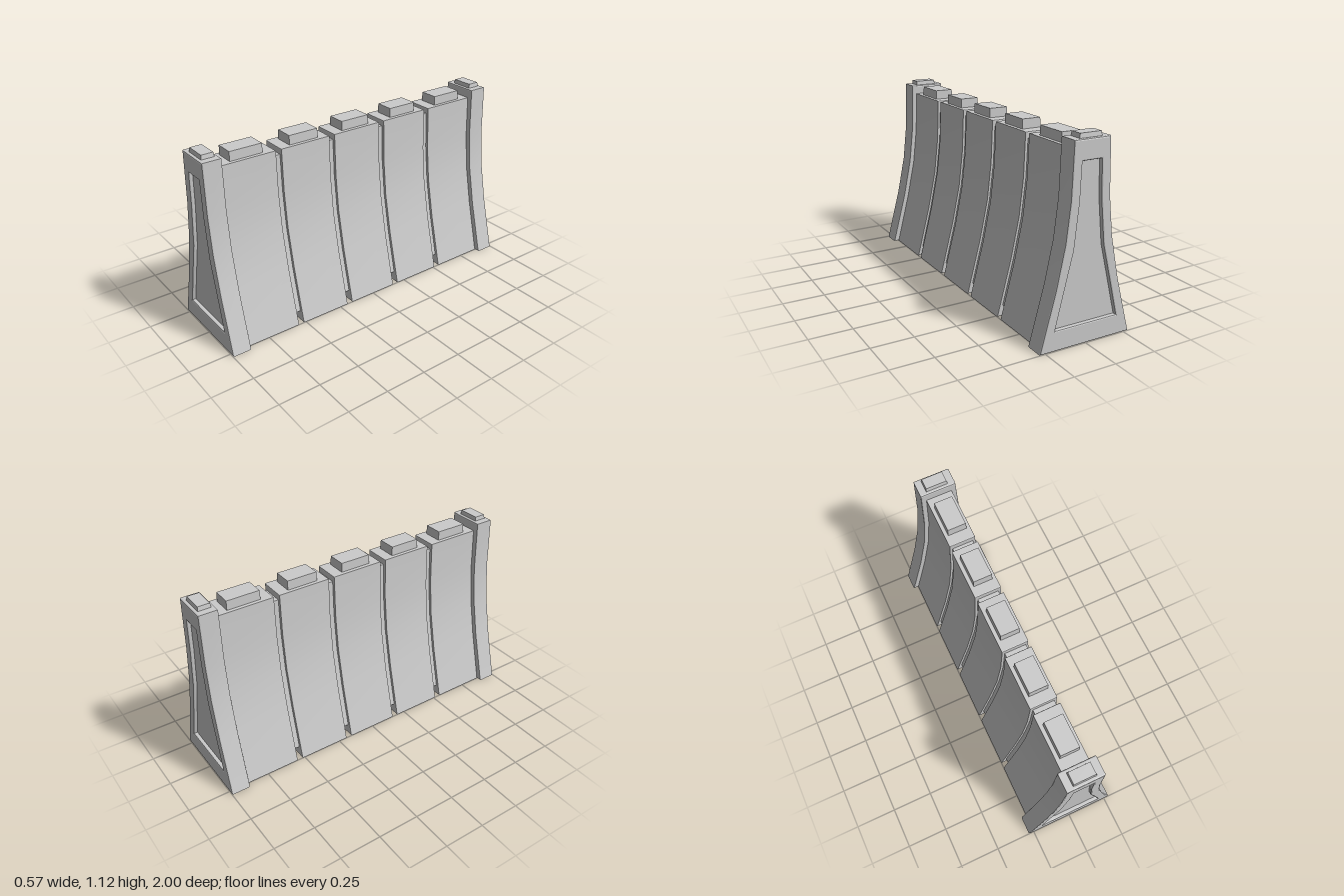
import * as THREE from 'three';
import { toCreasedNormals } from 'three/addons/utils/BufferGeometryUtils.js';

const material = new THREE.MeshStandardMaterial({ color: 0xcccccc });

// Half profiles as [half width, height], bottom to top
const endProfile = [[0.283, 0], [0.195, 0.33], [0.145, 0.57], [0.12, 0.79], [0.11, 1.095]];
const panelProfile = [[0.193, 0.115], [0.143, 0.32], [0.091, 0.53], [0.065, 0.78], [0.058, 0.985]];
const bodyProfile = [[0.25, 0], [0.165, 0.33], [0.115, 0.57], [0.09, 0.79], [0.08, 1.04]];
const coreProfile = [[0.216, 0.065], [0.149, 0.33], [0.1, 0.57], [0.074, 0.79], [0.064, 1.005]];

// Mirror a half profile into a closed outline
function outline(half) {
  const left = half.map(([x, y]) => [-x, y]).reverse();
  return [...half, ...left].map(([x, y]) => new THREE.Vector2(x, y));
}

// Extrude an outline between two z positions with softened edges
function slab(name, points, z0, z1, bevel, hole) {
  const shape = new THREE.Shape(points);
  if (hole) shape.holes.push(new THREE.Path(hole));
  const geometry = new THREE.ExtrudeGeometry(shape, {
    depth: z1 - z0 - 2 * bevel,
    bevelEnabled: bevel > 0,
    bevelSize: bevel,
    bevelThickness: bevel,
    bevelOffset: -bevel,
    bevelSegments: 2,
  });
  geometry.translate(0, 0, z0 + bevel);
  const mesh = new THREE.Mesh(toCreasedNormals(geometry, 0.3), material);
  mesh.name = name;
  return mesh;
}

// Low block with slightly tapered sides
function cap(name, halfWidth, z0, z1, y0, y1, taper) {
  const geometry = new THREE.BoxGeometry(halfWidth * 2, y1 - y0, z1 - z0);
  const p = geometry.attributes.position;
  for (let i = 0; i < p.count; i++) {
    if (p.getY(i) > 0) {
      p.setX(i, p.getX(i) - Math.sign(p.getX(i)) * taper);
      p.setZ(i, p.getZ(i) - Math.sign(p.getZ(i)) * taper);
    }
  }
  geometry.computeVertexNormals();
  geometry.translate(0, (y0 + y1) / 2, (z0 + z1) / 2);
  const mesh = new THREE.Mesh(geometry, material);
  mesh.name = name;
  return mesh;
}

export function createModel() {
  const barrier = new THREE.Group();
  barrier.name = 'barrier';

  // Inner core: shows in the grooves and as the recessed end panels
  barrier.add(slab('core', outline(coreProfile), -0.977, 0.977, 0));

  // Five wall segments, each with a raised block on top
  const segments = [
    [-0.9, -0.547, -0.817, -0.617],
    [-0.515, -0.195, -0.449, -0.261],
    [-0.162, 0.162, -0.095, 0.095],
    [0.195, 0.515, 0.261, 0.449],
    [0.547, 0.9, 0.617, 0.817],
  ];
  segments.forEach(([z0, z1, c0, c1], i) => {
    barrier.add(slab(`wallSegment${i + 1}`, outline(bodyProfile), z0, z1, 0.006));
    barrier.add(cap(`topBlock${i + 1}`, 0.058, c0, c1, 1.03, 1.095, 0.002));
  });

  // Thicker end frames with an opening onto the recessed panel
  for (const [side, z0, z1] of [['front', 0.885, 1], ['back', -1, -0.885]]) {
    barrier.add(slab(`${side}EndFrame`, outline(endProfile), z0, z1, 0.008, outline(panelProfile)));
    const z = (z0 + z1) / 2;
    barrier.add(cap(`${side}EndBlock`, 0.069, z - 0.04, z + 0.04, 1.085, 1.12, 0.005));
  }

  return barrier;
}
